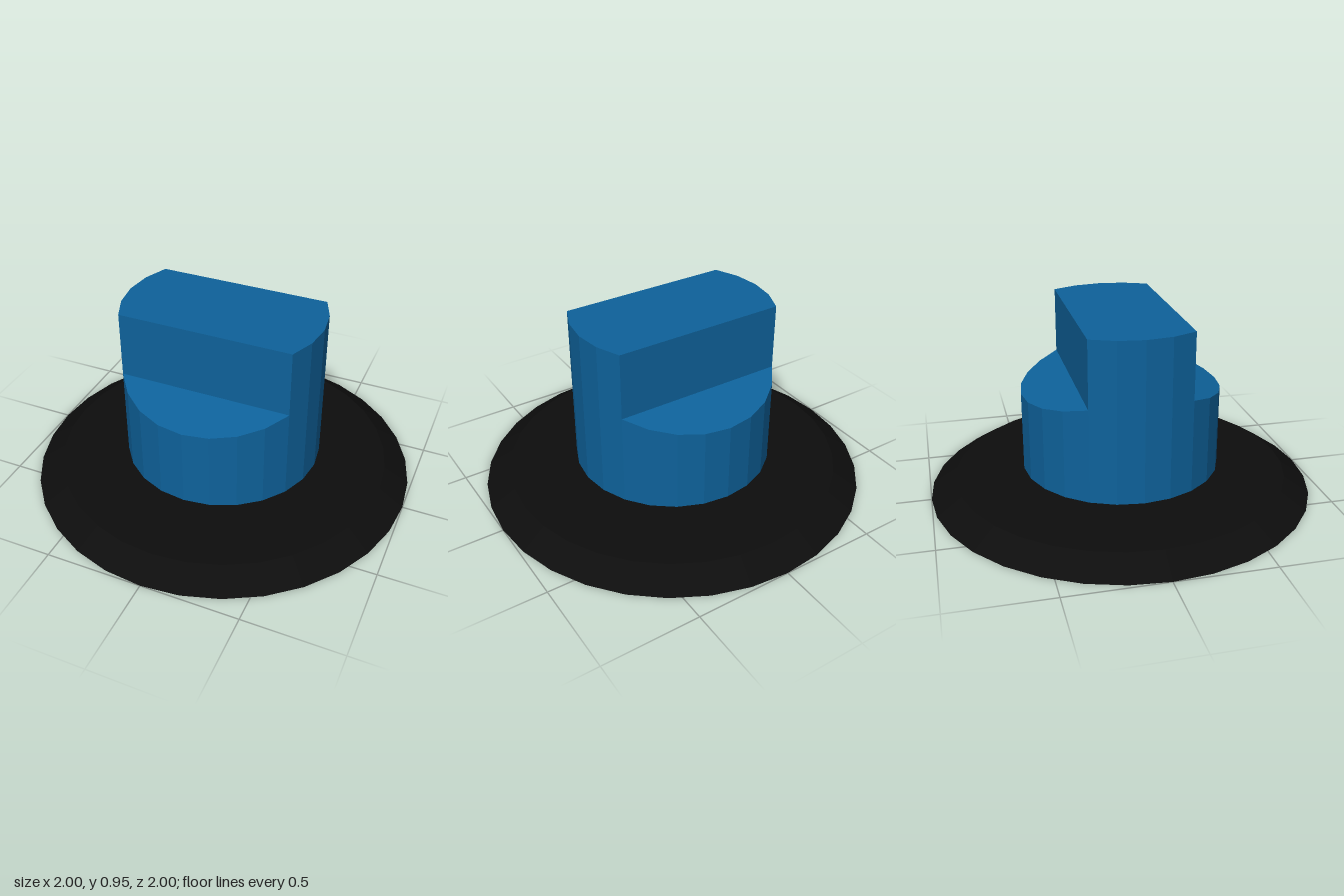
import * as THREE from 'three';

const SIDES = 24, RADIUS = 0.515, BOTTOM = 0.127, SHOULDER = 0.61, TOP = 0.955;
const GRIP_Z = RADIUS / 2; // the grip's flat faces cut the circle at its 60 degree corners

const black = new THREE.MeshStandardMaterial({ color: 0x0d0d0d, flatShading: true });
const blue = new THREE.MeshStandardMaterial({ color: 0x0e629b, flatShading: true });

function addMesh(group, name, geometry, material) {
  const mesh = new THREE.Mesh(geometry, material);
  mesh.name = name;
  group.add(mesh);
  return mesh;
}

// Corners of the knob's outline from one side index to another
function arc(from, to) {
  const points = [];
  for (let i = from; i <= to; i++) {
    const a = (i / SIDES) * Math.PI * 2;
    points.push(new THREE.Vector2(RADIUS * Math.cos(a), RADIUS * Math.sin(a)));
  }
  return points;
}

// Upright prism over an outline, standing on the knob's underside
function prism(points, top) {
  const geometry = new THREE.ExtrudeGeometry(new THREE.Shape(points), {
    depth: top - BOTTOM, bevelEnabled: false,
  });
  return geometry.rotateX(-Math.PI / 2).translate(0, BOTTOM, 0);
}

// Half-moon shoulder whose top slopes down away from the grip
function shoulderGeometry() {
  const geometry = prism(arc(2, 10), SHOULDER);
  const p = geometry.attributes.position;
  for (let i = 0; i < p.count; i++) {
    if (p.getY(i) > 0.4) p.setY(i, SHOULDER - (Math.abs(p.getZ(i)) - GRIP_Z) * 0.26);
  }
  geometry.computeVertexNormals();
  return geometry;
}

export function createModel() {
  const model = new THREE.Group();
  model.name = 'rotaryKnob';

  // Base plate with a chamfered rim, and the short stem
  addMesh(model, 'basePlate', new THREE.CylinderGeometry(0.87, 1, 0.085, 32), black).position.y = 0.0425;
  addMesh(model, 'stem', new THREE.CylinderGeometry(0.277, 0.277, 0.06, 32), black).position.y = 0.105;

  // Knob: a tall central grip between two sloped shoulders
  const knob = new THREE.Group();
  knob.name = 'knob';
  model.add(knob);
  addMesh(knob, 'grip', prism([...arc(-2, 2), ...arc(10, 14)], TOP), blue);
  addMesh(knob, 'backShoulder', shoulderGeometry(), blue);
  addMesh(knob, 'frontShoulder', shoulderGeometry(), blue).rotation.y = Math.PI;

  return model;
}
